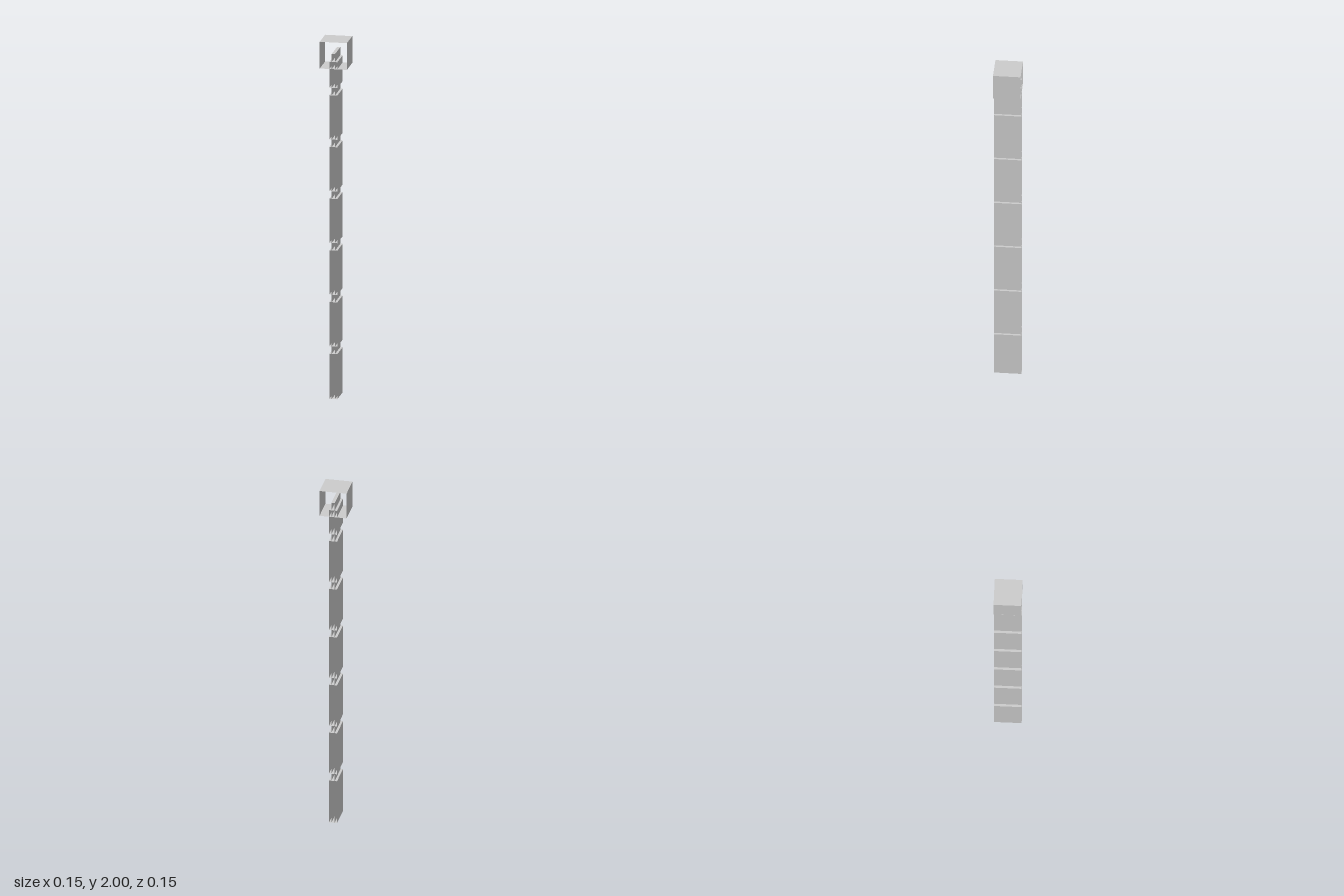
import * as THREE from 'three';

const DEPTH = 0.15;
const material = new THREE.MeshStandardMaterial({ color: 0xcccccc, flatShading: true, side: THREE.DoubleSide });

// Rectangular sleeve running along z, open at its front and back ends
function sleeve(name, width, y0, y1) {
  const geometry = new THREE.BoxGeometry(width, y1 - y0, DEPTH);
  // Keep only the x and y sides (the first four faces)
  geometry.setIndex(Array.from(geometry.index.array.slice(0, 24)));
  geometry.clearGroups();
  geometry.translate(0, (y0 + y1) / 2, 0);
  const mesh = new THREE.Mesh(geometry, material);
  mesh.name = name;
  return mesh;
}

export function createModel() {
  const model = new THREE.Group();
  model.name = 'segmentedPost';

  // Thin core running the full height into the head
  model.add(sleeve('core', 0.018, 0, 1.935));

  // Wider panels, separated by narrow grooves
  const panels = new THREE.Group();
  panels.name = 'panels';
  const pitch = 0.29;
  for (let i = 0; i < 7; i++) {
    const bottom = i === 0 ? 0 : 0.005 + i * pitch;
    const top = i === 6 ? 1.89 : 0.253 + i * pitch;
    panels.add(sleeve('panel' + (i + 1), 0.044, bottom, top));
  }
  model.add(panels);

  // Square head around the top of the post
  model.add(sleeve('head', 0.15, 1.85, 2));
  return model;
}
